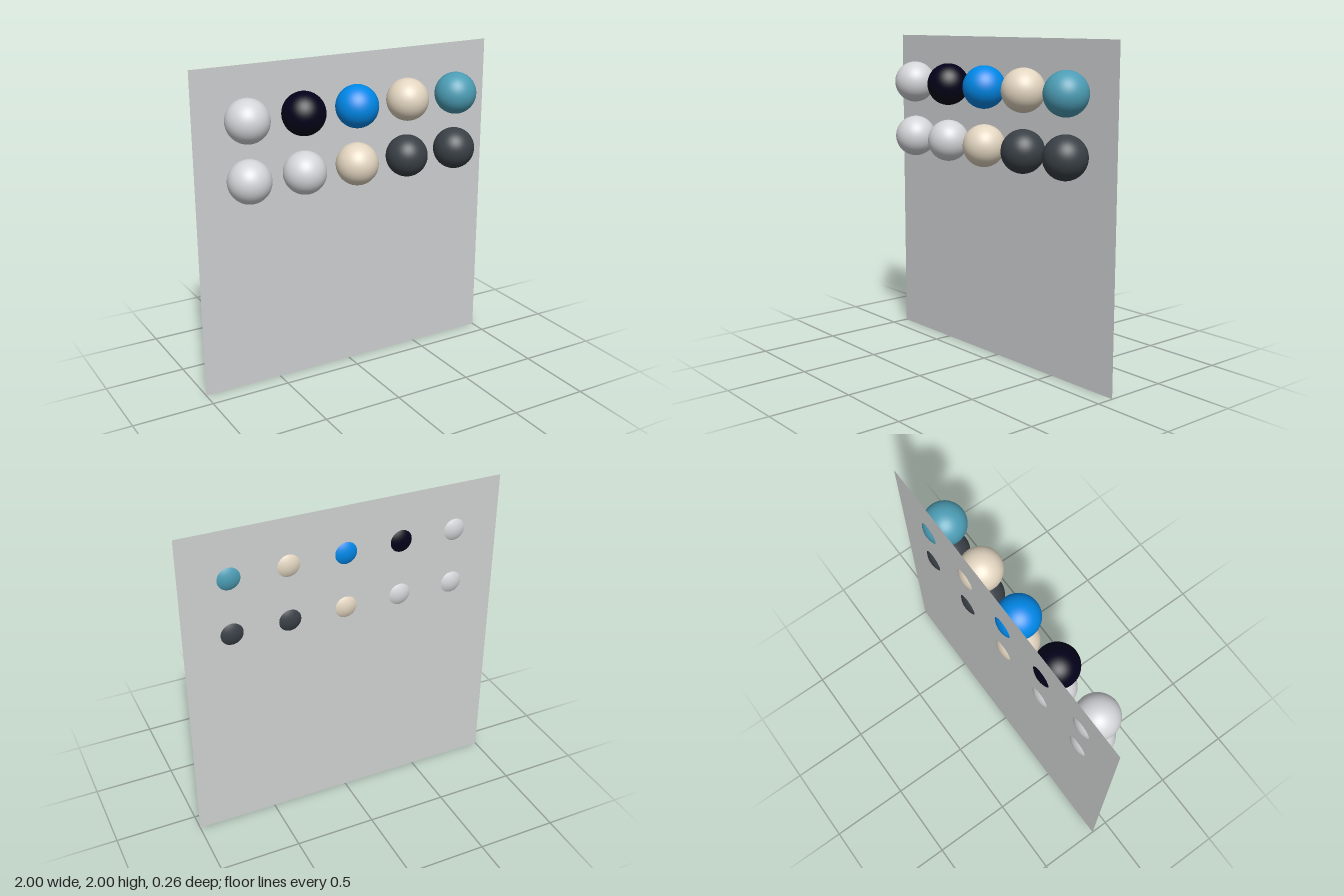
import * as THREE from 'three';

function material(name, color, side = THREE.FrontSide) {
  const m = new THREE.MeshStandardMaterial({ color, side });
  m.name = name;
  return m;
}

export function createModel() {
  const group = new THREE.Group();
  group.name = 'sphereSwatchBoard';

  const white = material('lightGrey', 0xd4d5d8);
  const navy = material('darkNavy', 0x02011a);
  const blue = material('brightBlue', 0x0088e8);
  const beige = material('beige', 0xe3d6c1);
  const teal = material('teal', 0x4c9db5);
  const charcoal = material('charcoal', 0x394046);
  const grey = material('boardGrey', 0xcecfd0, THREE.DoubleSide);

  // Thin upright board, pierced by the backs of the spheres
  const board = new THREE.Mesh(new THREE.PlaneGeometry(2, 2), grey);
  board.name = 'backBoard';
  board.position.set(0, 1, -0.11);
  group.add(board);

  // Two rows of five spheres
  const rows = [
    { name: 'upper', y: 1.703, colors: [white, navy, blue, beige, teal] },
    { name: 'lower', y: 1.349, colors: [white, white, beige, charcoal, charcoal] },
  ];
  const ball = new THREE.SphereGeometry(0.13, 48, 32);
  for (const row of rows) {
    row.colors.forEach((mat, i) => {
      const sphere = new THREE.Mesh(ball, mat);
      sphere.name = `${row.name}Sphere${i + 1}`;
      sphere.position.set((i - 2) * 0.354, row.y, 0);
      group.add(sphere);
    });
  }
  return group;
}
